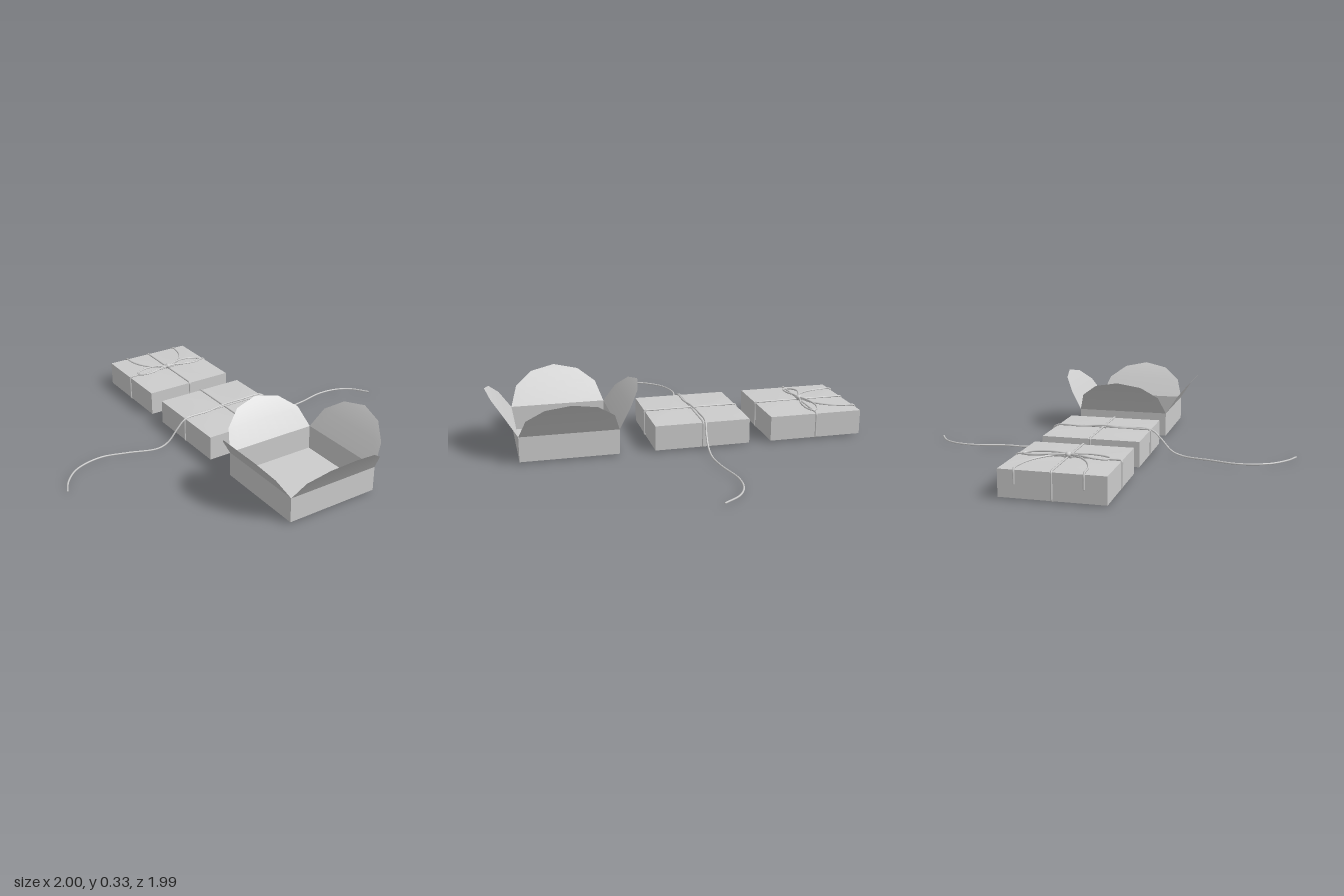
import * as THREE from 'three';

const HALF = 0.255;          // half the box width
const BASE = 0.008, TOP = 0.14;
const CX = 0.01;             // all boxes share this x centre

const card = new THREE.MeshStandardMaterial({ color: 0xcccccc, side: THREE.DoubleSide });
const twine = new THREE.MeshStandardMaterial({ color: 0xcccccc });

function addMesh(parent, name, geometry, material) {
  const mesh = new THREE.Mesh(geometry, material);
  mesh.name = name;
  parent.add(mesh);
  return mesh;
}

// Scalloped flap: rows of [distance from hinge, half width], placed by a rule
const FLAP_ROWS = [[0, HALF], [0.12, 0.22], [0.205, 0.13], [0.24, 0]];
function flapGeometry(place) {
  const cols = 8, pos = [], index = [];
  FLAP_ROWS.forEach(([v, w], r) => {
    for (let c = 0; c <= cols; c++) {
      pos.push(...place((c / cols * 2 - 1) * w, v, r));
      if (r && c) {
        const d = r * (cols + 1) + c, b = d - cols - 1;
        index.push(b - 1, b, d, b - 1, d, d - 1);
      }
    }
  });
  const g = new THREE.BufferGeometry();
  g.setAttribute('position', new THREE.Float32BufferAttribute(pos, 3));
  g.setIndex(index);
  g.computeVertexNormals();
  return g;
}

// Open flaps curve up and outward
const OUT = [0, 0.065, 0.12, 0.145], UP = [0, 0.1, 0.165, 0.19];
const openFlap = (u, v, r) => [u, TOP + UP[r], HALF + OUT[r]];
// Closed flaps twist a little, so each lies over one neighbour and under the other
const closedFlap = (u, v) => [u, TOP + 0.003 * Math.min(1, v / 0.12) - 0.15 * u * v, HALF - v];

function makeBox(name, z, place) {
  const box = new THREE.Group();
  box.name = name;
  box.position.set(CX, 0, z);
  const floor = addMesh(box, 'floor', new THREE.PlaneGeometry(HALF * 2, HALF * 2), card);
  floor.rotation.x = -Math.PI / 2;
  floor.position.y = BASE;
  for (let i = 0; i < 4; i++) {
    const side = new THREE.Group();
    side.name = 'side';
    side.rotation.y = i * Math.PI / 2;
    box.add(side);
    const wall = addMesh(side, 'wall', new THREE.PlaneGeometry(HALF * 2, TOP - BASE), card);
    wall.position.set(0, (TOP + BASE) / 2, HALF);
    addMesh(side, 'flap', flapGeometry(place), card);
  }
  return box;
}

// Twine through a few points, with rounded ends
const R = 0.005;
function addString(parent, name, points, closed = false, tension) {
  const pts = points.map(p => new THREE.Vector3(...p));
  const curve = tension === undefined
    ? new THREE.CatmullRomCurve3(pts, closed)
    : new THREE.CatmullRomCurve3(pts, closed, 'catmullrom', tension);
  addMesh(parent, name, new THREE.TubeGeometry(curve, closed ? 180 : 90, R, 6, closed), twine);
  if (closed) return;
  for (const end of [pts[0], pts[pts.length - 1]]) {
    addMesh(parent, name + 'End', new THREE.SphereGeometry(R, 6, 4), twine).position.copy(end);
  }
}

// Twine wrapped right around a box, straight with small cut corners
function addBand(parent, name, alongX, shift = 0, skew = 0) {
  const h = HALF + 0.003, t = TOP + 0.006, b = 0.005, c = 0.008;
  const outline = [[-h + c, t], [h - c, t], [h, t - c], [h, b + c],
    [h - c, b], [-h + c, b], [-h, b + c], [-h, t - c]];
  addString(parent, name, outline.map(([s, y]) => {
    const off = shift + skew * Math.sign(s);
    return alongX ? [s, y, off] : [off, y, s];
  }), true, 0);
}

export function createModel() {
  const model = new THREE.Group();
  model.name = 'giftBoxes';

  // Open box at the front
  model.add(makeBox('openBox', 0.595, openFlap));

  // Closed box with loosely wrapped twine
  const wrapped = makeBox('wrappedBox', -0.1, closedFlap);
  model.add(wrapped);
  addBand(wrapped, 'lengthBand', false);
  addBand(wrapped, 'crossBand', true);

  // Long twine ends: down the sides and out across the ground
  const g = 0.012;
  addString(model, 'longString', [
    [-1, g, 0.03], [-0.96, g, -0.05], [-0.87, g, -0.14], [-0.72, g, -0.18], [-0.58, g, -0.145],
    [-0.42, g, -0.095], [-0.36, 0.035, -0.09], [-0.3, 0.1, -0.089], [-0.25, 0.143, -0.09],
    [-0.1, 0.148, -0.092], [0.01, 0.155, -0.104], [0.12, 0.148, -0.116], [0.27, 0.143, -0.112],
    [0.3, 0.1, -0.107], [0.35, 0.04, -0.104], [0.42, g, -0.103], [0.56, g, -0.112],
    [0.73, g, -0.146], [0.85, g, -0.132], [0.93, g, -0.085], [0.99, g, 0]]);

  // Closed box tied with a bow
  const tied = makeBox('tiedBox', -0.73, closedFlap);
  model.add(tied);
  addBand(tied, 'lengthBand', false);
  addBand(tied, 'crossBand', true);
  for (const [s, len] of [[-1, 0.2], [1, 0.22]]) {
    addString(tied, 'bowLoop', [
      [0, 0.158, 0.004], [s * len * 0.35, 0.16, -0.025], [s * len * 0.7, 0.155, -0.038],
      [s * len * 0.95, 0.15, -0.02], [s * len, 0.15, 0.005], [s * len * 0.85, 0.152, 0.027],
      [s * len * 0.5, 0.157, 0.03], [s * len * 0.2, 0.16, 0.012]], true);
    const e = s < 0 ? 0.15 : 0.175;
    addString(tied, 'bowTail', [
      [0, 0.158, 0], [s * e * 0.45, 0.153, -0.03], [s * e * 0.8, 0.15, -0.1],
      [s * e * 0.97, 0.148, -0.18], [s * e, 0.147, -0.25], [s * e, 0.138, -0.259],
      [s * e, 0.11, -0.26], [s * e, 0.075, -0.26]]);
  }
  const knot = addMesh(tied, 'knot', new THREE.SphereGeometry(0.018, 10, 8), twine);
  knot.scale.set(0.9, 0.8, 1);
  knot.position.y = 0.156;

  return model;
}
